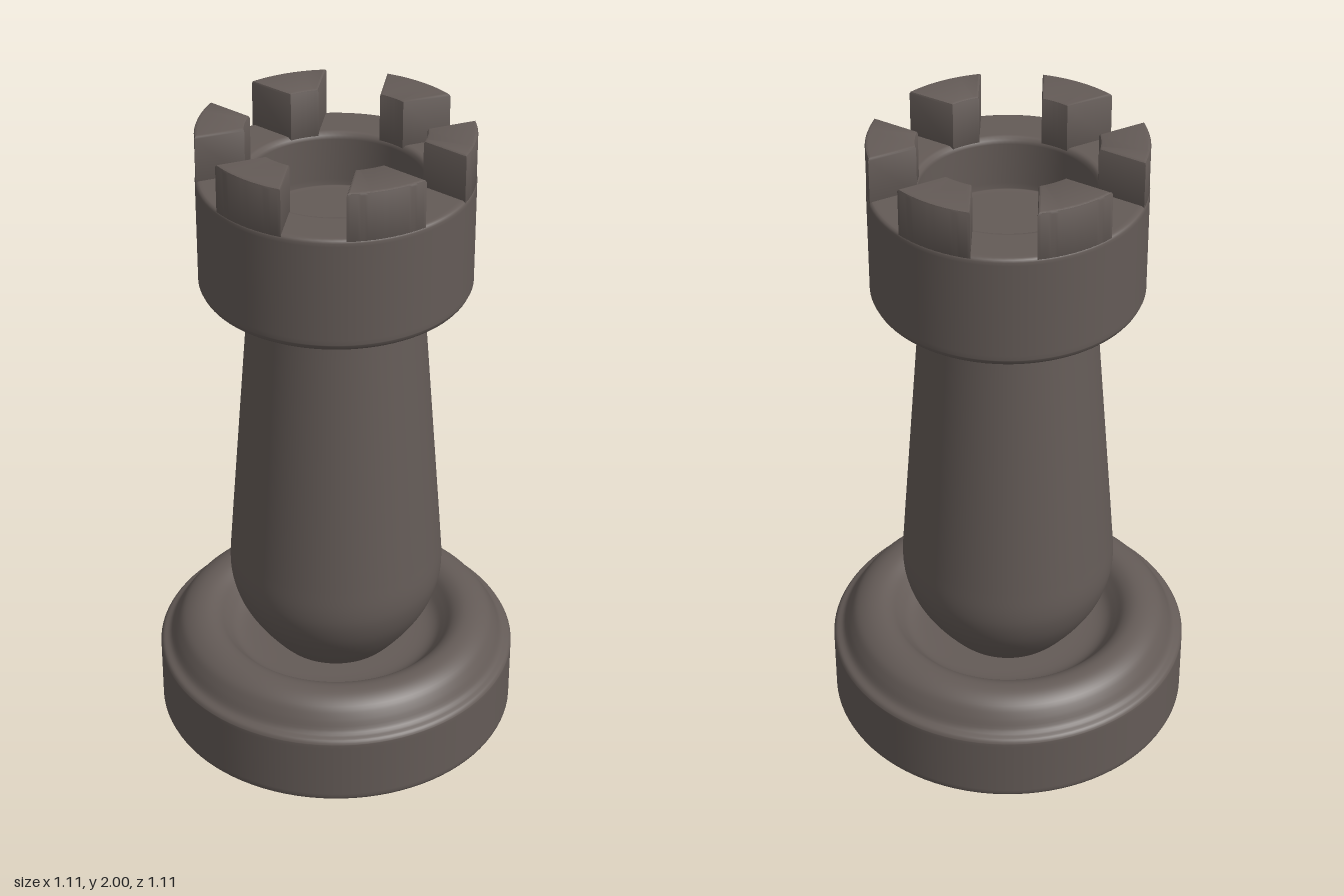
import * as THREE from 'three';
import { toCreasedNormals } from 'three/addons/utils/BufferGeometryUtils.js';

const SEGMENTS = 96;
const stone = new THREE.MeshStandardMaterial({ color: 0x645b57 });
stone.name = 'dark stone';

const points = (list) => list.map(([r, y]) => new THREE.Vector2(r, y));
// smooth run of profile points
const smooth = (list, n) => new THREE.SplineCurve(points(list)).getPoints(n);

function turned(name, profile) {
  const mesh = new THREE.Mesh(new THREE.LatheGeometry(profile, SEGMENTS), stone);
  mesh.name = name;
  return mesh;
}

function merlonGeometry() {
  const outer = 0.398, inner = 0.257, halfGap = 0.09, bevel = 0.008;
  // sides run parallel to the centre line of the neighbouring gaps
  const edge = (r) => Math.PI / 6 - Math.asin(halfGap / r);
  const shape = new THREE.Shape();
  shape.absarc(0, 0, outer, -edge(outer), edge(outer), false);
  shape.absarc(0, 0, inner, edge(inner), -edge(inner), true);
  shape.closePath();
  const geometry = new THREE.ExtrudeGeometry(shape, {
    depth: 0.16 - bevel * 2, curveSegments: 12,
    bevelSize: bevel, bevelThickness: bevel, bevelOffset: -bevel, bevelSegments: 2,
  });
  geometry.rotateX(-Math.PI / 2).translate(0, 1.84 + bevel, 0);
  return toCreasedNormals(geometry, 0.6);
}

export function createModel() {
  const model = new THREE.Group();
  model.name = 'rook';

  // base disc with a rounded shoulder and a groove around the column
  model.add(turned('base', [
    ...points([[0, 0], [0.535, 0], [0.543, 0.001], [0.553, 0.009], [0.557, 0.018], [0.557, 0.03], [0.557, 0.21]]),
    ...smooth([[0.557, 0.222], [0.549, 0.234], [0.526, 0.246], [0.506, 0.28], [0.482, 0.311], [0.445, 0.33],
      [0.405, 0.333], [0.372, 0.318], [0.345, 0.288], [0.315, 0.258], [0.27, 0.245], [0.18, 0.243]], 44),
  ]));

  // tapering column with a bulb at the foot
  model.add(turned('column', [
    ...smooth([[0.18, 0.235], [0.21, 0.268], [0.26, 0.335], [0.3, 0.405], [0.323, 0.475], [0.329, 0.54], [0.324, 0.62]], 28),
    ...points([[0.318, 0.7], [0.264, 1.39], [0.26, 1.45]]),
  ]));

  // flared head with a hollow top
  model.add(turned('head', [
    ...smooth([[0.255, 1.43], [0.266, 1.447], [0.298, 1.462], [0.335, 1.486], [0.37, 1.503], [0.39, 1.512], [0.4, 1.53]], 24),
    ...points([[0.4, 1.545], [0.4, 1.84], [0.4, 1.85], [0.397, 1.857], [0.39, 1.86], [0.38, 1.86],
      [0.275, 1.86], [0.266, 1.859], [0.257, 1.852], [0.255, 1.84], [0.255, 1.71], [0.255, 1.692],
      [0.253, 1.69], [0.235, 1.69], [0, 1.69]]),
  ]));

  // six battlements, with gaps facing left and right
  const battlements = new THREE.Group();
  battlements.name = 'battlements';
  const geometry = merlonGeometry();
  for (let i = 0; i < 6; i++) {
    const merlon = new THREE.Mesh(geometry, stone);
    merlon.name = 'merlon';
    merlon.rotation.y = Math.PI / 6 + i * Math.PI / 3;
    battlements.add(merlon);
  }
  model.add(battlements);
  return model;
}
